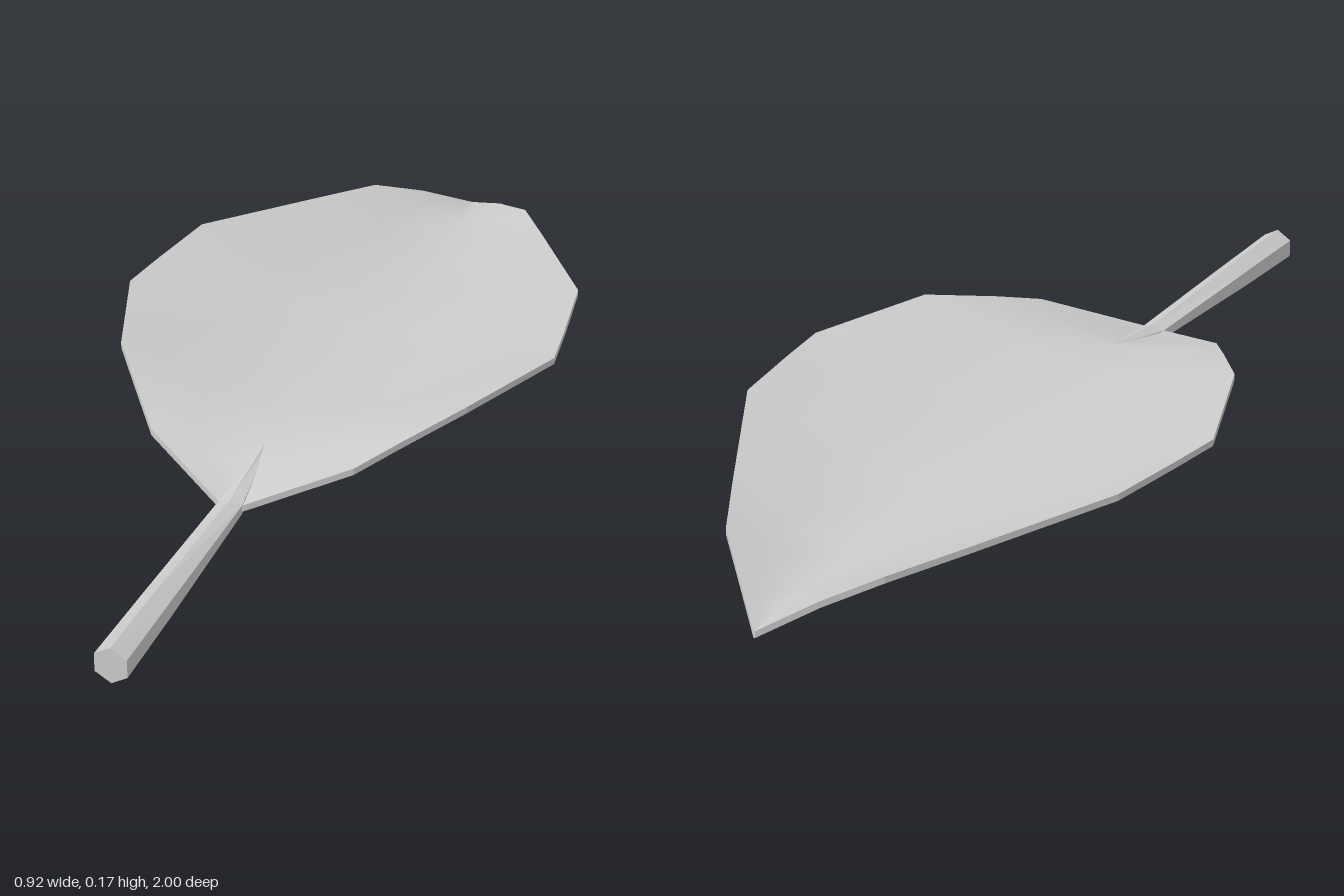
import * as THREE from 'three';

// Surface through rows of points; every row has the same number of points.
function loft(rows) {
  const n = rows[0].length, index = [];
  for (let i = 0; i < rows.length - 1; i++) {
    for (let j = 0; j < n - 1; j++) {
      const a = i * n + j, b = a + 1, c = a + n, d = c + 1;
      index.push(a, b, d, a, d, c);
    }
  }
  const g = new THREE.BufferGeometry();
  g.setAttribute('position', new THREE.Float32BufferAttribute(rows.flat(2), 3));
  g.setIndex(index);
  g.computeVertexNormals();
  return g;
}

export function createModel() {
  const model = new THREE.Group();
  const smooth = new THREE.MeshStandardMaterial({ color: 0xcccccc });
  const flat = new THREE.MeshStandardMaterial({ color: 0xcccccc, flatShading: true });
  const add = (name, geometry, material, parent) => {
    const mesh = new THREE.Mesh(geometry, material);
    mesh.name = name;
    parent.add(mesh);
  };

  // Blade stations from stem to tip: z, half width, midrib height, edge height (underside)
  const stations = [
    [0.44, 0.025, 0.03, 0.042], [0.33, 0.21, 0.057, 0.102], [0.25, 0.27, 0.077, 0.125],
    [0.12, 0.365, 0.075, 0.157], [-0.14, 0.46, 0.07, 0.15], [-0.26, 0.445, 0.07, 0.151],
    [-0.43, 0.42, 0.056, 0.152], [-0.7, 0.26, 0.03, 0.119], [-0.84, 0.175, 0.026, 0.102],
    [-0.92, 0.09, 0.024, 0.066], [-1, 0.002, 0.016, 0.017],
  ];
  const thickness = 0.014;
  const across = [-1, -0.5, 0, 0.5, 1];
  const surface = lift => stations.map(([z, w, mid, edge]) =>
    across.map(t => [t * w, mid + (edge - mid) * Math.abs(t) + lift, z]));
  const top = surface(thickness), bottom = surface(0);

  const blade = new THREE.Group();
  blade.name = 'blade';
  model.add(blade);
  add('bladeTop', loft(top), smooth, blade);
  add('bladeUnderside', loft(bottom.map(row => [...row].reverse())), smooth, blade);

  // Thin rim along both edges and across the two ends
  const last = across.length - 1, end = stations.length - 1;
  add('leftRim', loft(top.map((row, i) => [row[last], bottom[i][last]])), flat, blade);
  add('rightRim', loft(top.map((row, i) => [bottom[i][0], row[0]])), flat, blade);
  add('baseRim', loft([bottom[0], top[0]]), flat, blade);
  add('tipRim', loft([top[end], bottom[end]]), flat, blade);

  // Six-sided stem tapering into the midrib: z, centre height, radius x, radius y
  const stemRings = [
    [1, 0.0375, 0.037, 0.0375], [0.8, 0.0395, 0.034, 0.0335],
    [0.44, 0.046, 0.028, 0.018], [0.25, 0.083, 0.005, 0.007],
  ].map(([z, y, rx, ry]) => Array.from({ length: 7 }, (_, k) => {
    const a = Math.PI / 2 + k * Math.PI / 3;
    return [rx * Math.cos(a), y + ry * Math.sin(a), z];
  }));
  // Rings run anticlockwise seen from +z, so reverse their order along z for outward faces
  add('stem', loft([...stemRings].reverse()), flat, model);

  // Flat cap on the cut end of the stem
  const centre = Array.from({ length: 7 }, () => [0, 0.0375, 1]);
  add('stemCap', loft([stemRings[0], centre]), flat, model);

  return model;
}
